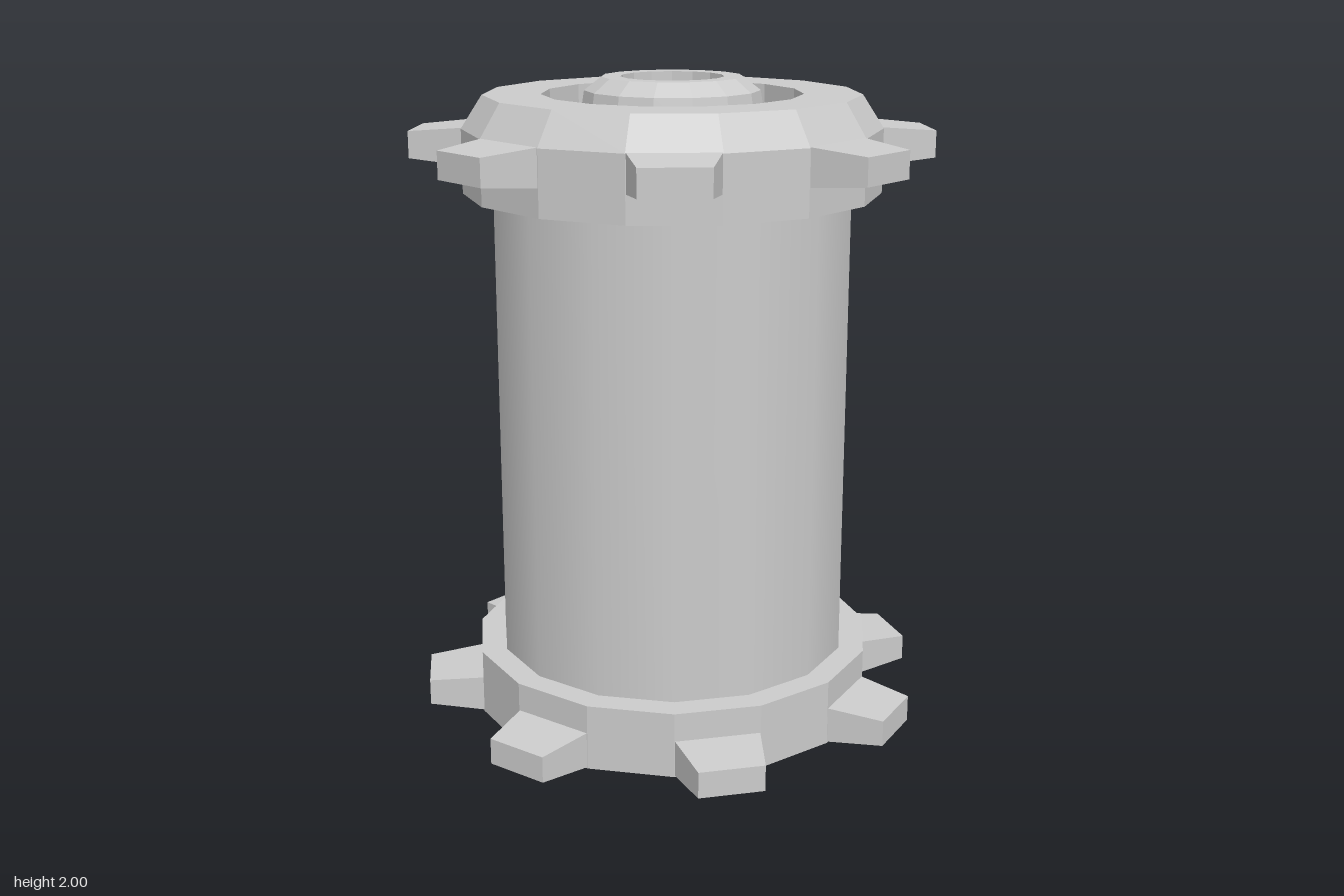
import * as THREE from 'three';

const SIDES = 15;
const STEP = (2 * Math.PI) / SIDES;
const TWIST = Math.PI / 30; // the two toothed rings are turned opposite ways by this angle

const flat = new THREE.MeshStandardMaterial({ color: 0xcccccc, flatShading: true });
const smooth = new THREE.MeshStandardMaterial({ color: 0xcccccc });

// Fifteen-sided turned part from [radius, height] points, listed bottom to top
function turned(name, profile, start, material = flat) {
  const points = profile.map(([r, y]) => new THREE.Vector2(r, y));
  const mesh = new THREE.Mesh(new THREE.LatheGeometry(points, SIDES, start), material);
  mesh.name = name;
  return mesh;
}

// Tapered tooth pointing along +z: a box whose outer end is narrowed
function toothGeometry() {
  const rootRadius = 0.615, tipRadius = 0.795;
  const geometry = new THREE.BoxGeometry(0.264, 0.114, tipRadius - rootRadius);
  const p = geometry.attributes.position;
  for (let i = 0; i < p.count; i++) {
    if (p.getZ(i) > 0) p.setXY(i, p.getX(i) * 0.76, p.getY(i) * 0.72);
  }
  geometry.translate(0, 0, (rootRadius + tipRadius) / 2);
  geometry.computeVertexNormals();
  return geometry;
}

// Seven teeth on every second face, leaving a wider gap at the back
function teeth(name, y, angle) {
  const group = new THREE.Group();
  group.name = name;
  const geometry = toothGeometry();
  for (let k = -3; k <= 3; k++) {
    const tooth = new THREE.Mesh(geometry, flat);
    tooth.name = 'tooth';
    tooth.position.y = y;
    tooth.rotation.y = angle + k * 2 * STEP;
    group.add(tooth);
  }
  return group;
}

export function createModel() {
  const model = new THREE.Group();
  model.name = 'toothedDrum';

  // Drum
  model.add(turned('body', [[0.558, 0.2], [0.558, 1.655]], -TWIST, smooth));

  // Bottom ring with closed underside
  model.add(turned('bottomRing', [[0, 0], [0.638, 0], [0.638, 0.205], [0.54, 0.205]], -TWIST));
  model.add(teeth('bottomTeeth', 0.06, TWIST));

  // Top ring: chamfered shoulder around a round recess
  model.add(turned('topRing', [
    [0.54, 1.655], [0.638, 1.655], [0.638, 1.85], [0.573, 1.95],
    [0.397, 1.95], [0.397, 1.86], [0, 1.86],
  ], TWIST));
  model.add(teeth('topTeeth', 1.796, -TWIST));

  // Raised hub in the recess, with a shallow hole
  model.add(turned('hub', [
    [0.283, 1.86], [0.267, 1.96], [0.215, 2], [0.157, 2], [0.157, 1.95], [0, 1.95],
  ], TWIST));

  // The wider gap at the back shifts the middle of the drum backwards
  for (const part of model.children) part.position.z = -0.036;
  return model;
}
